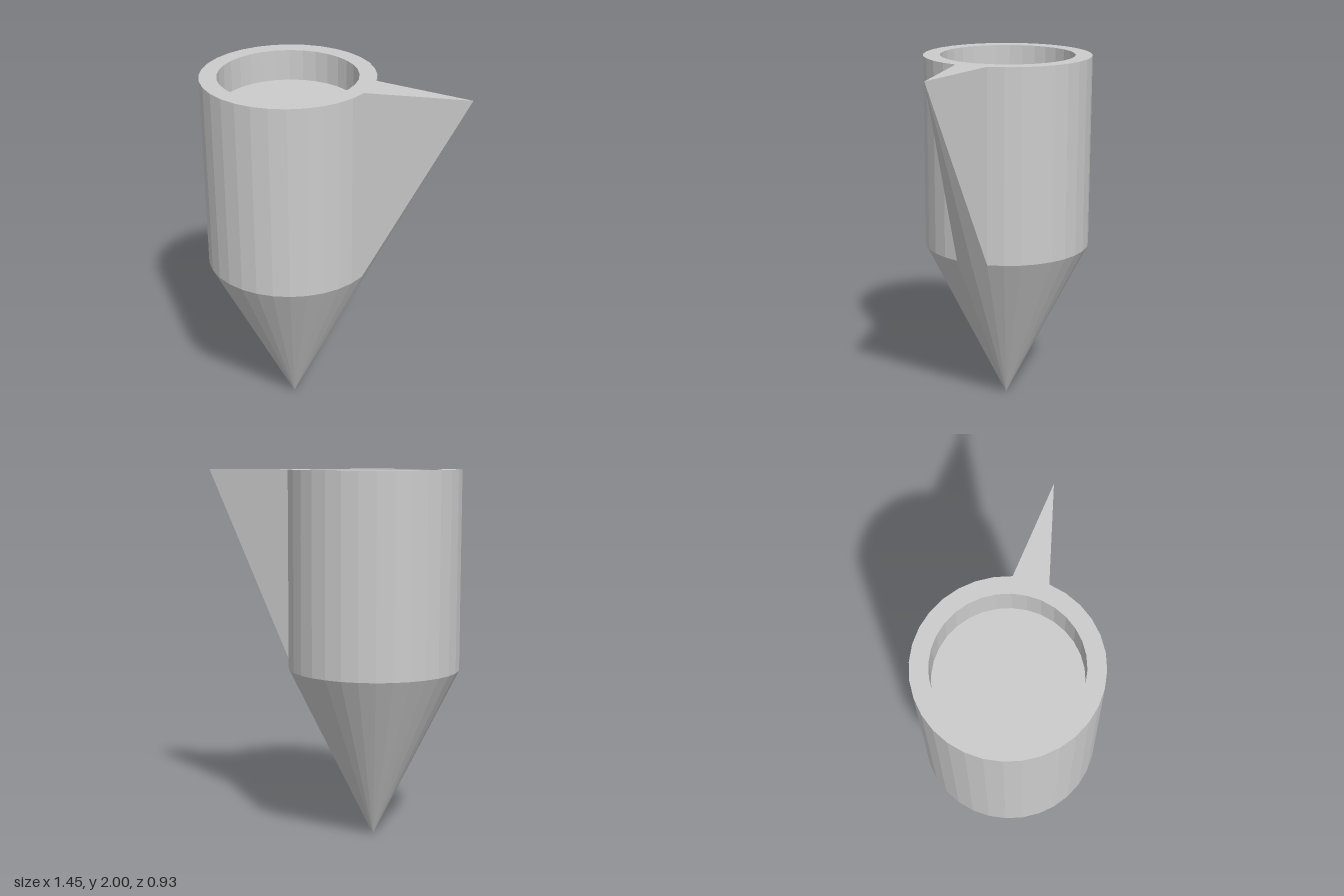
import * as THREE from 'three';

const CENTER_X = -0.265, RADIUS = 0.463, INNER = 0.371;
const SHOULDER = 0.935, TOP = 2, FLOOR = 1.83, SIDES = 32;

const grey = () => new THREE.MeshStandardMaterial({ color: 0xcccccc, flatShading: true });

// Faceted surface of revolution from [radius, height] pairs
function turned(name, profile) {
  const points = profile.map(([r, y]) => new THREE.Vector2(r, y));
  const mesh = new THREE.Mesh(new THREE.LatheGeometry(points, SIDES), grey());
  mesh.name = name;
  mesh.position.x = CENTER_X;
  return mesh;
}

// Pointed fin whose root follows two facets of the barrel
function makeFin() {
  const step = (Math.PI * 2) / SIDES;
  const tip = [0.725, TOP, -0.014];
  const root = (i, y) => [
    CENTER_X + RADIUS * Math.cos(i * step), y, RADIUS * Math.sin(i * step),
  ];
  const triangles = [
    [root(1, SHOULDER), tip, root(1, TOP)],       // front side
    [root(-1, SHOULDER), root(-1, TOP), tip],     // back side
  ];
  // top and sloping underside, one triangle per facet
  for (const i of [-1, 0]) {
    triangles.push([root(i, TOP), root(i + 1, TOP), tip]);
    triangles.push([root(i + 1, SHOULDER), root(i, SHOULDER), tip]);
  }
  const geometry = new THREE.BufferGeometry();
  geometry.setAttribute('position', new THREE.Float32BufferAttribute(triangles.flat(2), 3));
  geometry.computeVertexNormals();
  const fin = new THREE.Mesh(geometry, grey());
  fin.name = 'fin';
  return fin;
}

export function createModel() {
  const model = new THREE.Group();
  model.name = 'finnedCone';
  model.add(
    turned('coneTip', [[0, 0], [RADIUS, SHOULDER]]),
    // barrel with a shallow recess in its top
    turned('barrel', [[RADIUS, SHOULDER], [RADIUS, TOP], [INNER, TOP], [INNER, FLOOR], [0, FLOOR]]),
    makeFin(),
  );
  return model;
}
